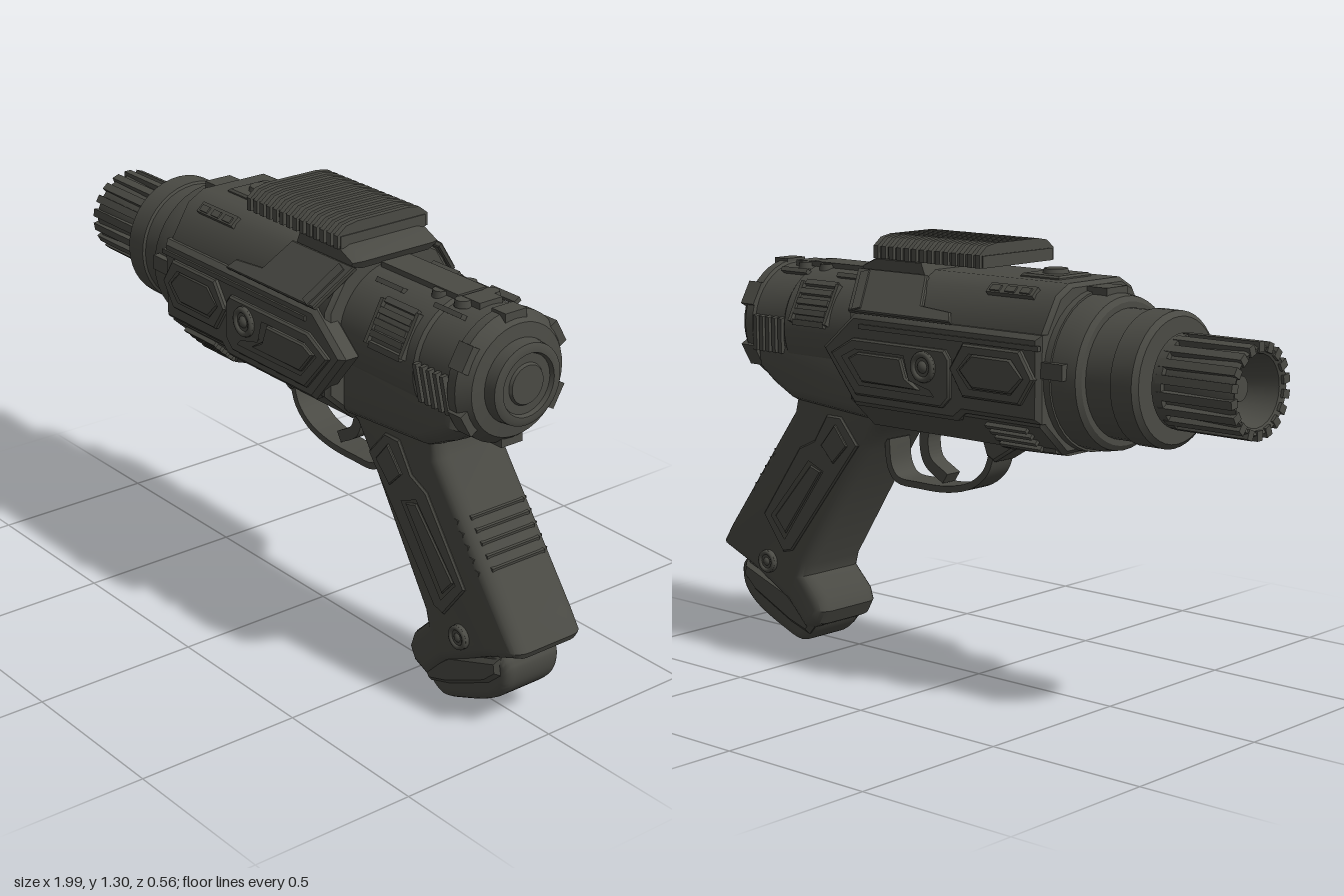
import * as THREE from 'three';
import { toCreasedNormals } from 'three/addons/utils/BufferGeometryUtils.js';

const gunmetal = new THREE.MeshStandardMaterial({ color: 0x4a4a44 });
gunmetal.name = 'gunmetal';

export function createModel() {
  const model = new THREE.Group();
  model.name = 'blaster';

  const add = (name, geo, x = 0, y = 0, z = 0, rx = 0, rz = 0) => {
    const m = new THREE.Mesh(geo, gunmetal);
    m.name = name;
    m.position.set(x, y, z);
    m.rotation.set(rx, 0, rz);
    model.add(m);
    return m;
  };
  // Same part on both sides of the gun
  const pair = (name, geo, x, y, z, rx = 0, rz = 0) => {
    add(name + 'Left', geo, x, y, z, rx, rz);
    add(name + 'Right', geo, x, y, -z, -rx, rz);
  };
  const box = (w, h, d) => new THREE.BoxGeometry(w, h, d);

  // Side outline given thickness across z, bevelled inside its outline
  const slab = (pts, depth, bevel = 0, bevelZ = bevel, segs = 1, holes = []) => {
    const shape = new THREE.Shape(pts.map(p => new THREE.Vector2(...p)));
    holes.forEach(h => shape.holes.push(new THREE.Path(h.map(p => new THREE.Vector2(...p)))));
    const g = new THREE.ExtrudeGeometry(shape, {
      depth: depth - 2 * bevelZ, bevelEnabled: bevel > 0, bevelSize: bevel,
      bevelOffset: -bevel, bevelThickness: bevelZ, bevelSegments: segs,
    });
    g.translate(0, 0, -(depth - 2 * bevelZ) / 2);
    return toCreasedNormals(g, 0.6);
  };
  // Smooth outline through a few points
  const smooth = (pts, n = 60) =>
    new THREE.CatmullRomCurve3(pts.map(p => new THREE.Vector3(p[0], p[1], 0)), true, 'centripetal')
      .getPoints(n).slice(0, -1).map(p => [p.x, p.y]);
  // Turned part along x, profile as [x, radius]
  const turned = (pts, segs = 40) => {
    const g = new THREE.LatheGeometry(pts.map(([x, r]) => new THREE.Vector2(r, x)), segs);
    g.rotateZ(-Math.PI / 2);
    return toCreasedNormals(g, 0.5);
  };
  // Bent strip following a curve in the side plane
  const strip = (pts, t, depth) => {
    const c = new THREE.CatmullRomCurve3(pts.map(p => new THREE.Vector3(p[0], p[1], 0)));
    const a = [], b = [];
    for (let i = 0; i <= 28; i++) {
      const p = c.getPoint(i / 28), d = c.getTangent(i / 28);
      a.push([p.x - d.y * t / 2, p.y + d.x * t / 2]);
      b.unshift([p.x + d.y * t / 2, p.y - d.x * t / 2]);
    }
    return slab([...a, ...b], depth);
  };

  // Muzzle with open bore and raised flutes
  const axis = 0.965;
  add('muzzle', turned([[-0.84, 0], [-0.84, 0.075], [-0.985, 0.1], [-0.995, 0.118], [-0.98, 0.124],
    [-0.8, 0.116], [-0.72, 0.116]], 24), 0, axis);
  add('boreCore', turned([[-0.93, 0], [-0.93, 0.035], [-0.83, 0.05]], 20), 0, axis);
  for (let i = 0; i < 18; i++) {
    const a = i / 18 * Math.PI * 2;
    add('muzzleFlute', box(0.25, 0.028, 0.024), -0.872, axis + Math.cos(a) * 0.119, Math.sin(a) * 0.119, a);
  }
  add('muzzleRing', turned([[-0.765, 0.1], [-0.765, 0.132], [-0.735, 0.132], [-0.735, 0.1]]), 0, axis);

  // Stepped barrel collars
  add('frontCollar', turned([[-0.725, 0], [-0.725, 0.175], [-0.712, 0.19], [-0.64, 0.19], [-0.635, 0.183],
    [-0.55, 0.183], [-0.55, 0.2], [-0.54, 0.215], [-0.5, 0.222], [-0.43, 0.222]]), 0, axis);
  add('rearCollar', turned([[-0.46, 0.2], [-0.46, 0.228], [-0.41, 0.232], [-0.41, 0.2]]), 0, axis);
  pair('collarLatch', box(0.075, 0.045, 0.03), -0.475, 0.99, 0.222);
  add('collarTopLatch', box(0.07, 0.025, 0.09), -0.475, 1.19, 0);

  // Faceted main body
  const section = [[0.11, 1.215], [0.165, 1.185], [0.228, 1.08], [0.228, 0.83], [0.13, 0.74]];
  const body = slab([...section, ...section.map(([z, y]) => [-z, y]).reverse()], 0.75, 0.012);
  body.rotateY(Math.PI / 2);
  add('mainBody', body, -0.065);
  add('lowerHandguard', slab([[-0.43, 0.84], [-0.43, 0.735], [-0.22, 0.728], [-0.19, 0.76], [-0.19, 0.84]],
    0.3, 0.012, 0.04));
  for (let i = 0; i < 4; i++)
    pair('handguardRib', box(0.15, 0.012, 0.02), -0.3, 0.755 + i * 0.02, 0.154 + i * 0.021, 0.73);

  // Side armour plates
  pair('sideArmour', slab([[-0.44, 1.085], [0.27, 1.085], [0.4, 0.975], [0.27, 0.815], [-0.13, 0.815],
    [-0.16, 0.84], [-0.44, 0.84]], 0.07, 0.014), 0, 0, 0.213);
  const hexagon = (s, x0, x1, y, h) => [[x0 + s, y], [x0 + 0.05 + s, y + h], [x1 - 0.05 - s, y + h],
    [x1 - s, y], [x1 - 0.05 - s, y - h], [x0 + 0.05 + s, y - h]];
  pair('hexPanelFrame', slab(hexagon(0, -0.43, -0.12, 0.965, 0.075), 0.025, 0.006, 0.006, 1,
    [hexagon(0.025, -0.43, -0.12, 0.965, 0.055)]), 0, 0, 0.251);
  pair('hexPanel', slab(hexagon(0.035, -0.43, -0.12, 0.965, 0.048), 0.025, 0.006), 0, 0, 0.25);
  pair('arrowPanelFrame', slab([[-0.1, 1.015], [0.26, 1.015], [0.35, 0.965], [0.25, 0.85], [-0.09, 0.85],
    [-0.12, 0.88], [-0.12, 0.99]], 0.022, 0.006, 0.006, 1,
    [[[0.05, 0.99], [0.25, 0.99], [0.31, 0.96], [0.235, 0.875], [-0.07, 0.875], [-0.05, 0.9], [0.03, 0.92]]]), 0, 0, 0.25);
  pair('arrowPanel', slab([[0.07, 0.975], [0.24, 0.975], [0.28, 0.955], [0.225, 0.89], [0.0, 0.89], [0.05, 0.92]],
    0.02, 0.005), 0, 0, 0.25);
  const bolt = (r, d) => new THREE.CylinderGeometry(r * 0.85, r, d, 24).rotateX(Math.PI / 2);
  // Screw with a raised rim and centre on each side
  const screw = (name, r, x, y, z) => {
    pair(name + 'Base', new THREE.CylinderGeometry(r, r, 0.03, 24).rotateX(Math.PI / 2), x, y, z);
    pair(name + 'Rim', new THREE.TorusGeometry(r * 0.8, r * 0.2, 8, 28), x, y, z + 0.014);
    pair(name + 'Head', new THREE.SphereGeometry(r * 0.45, 16, 10), x, y, z + 0.006);
  };
  screw('bodyScrew', 0.045, -0.025, 0.96, 0.252);
  // Long trim strips and small blocks on the upper body
  pair('upperTrim', box(0.68, 0.014, 0.012), -0.1, 1.05, 0.248);
  pair('upperBlock', box(0.17, 0.035, 0.02), -0.275, 1.185, 0.164, -0.85);
  for (let i = 0; i < 3; i++)
    pair('upperStud', box(0.035, 0.02, 0.03), -0.33 + i * 0.055, 1.183, 0.166, -0.85);
  add('topHatch', slab([[-0.07, -0.07], [0.07, -0.07], [0.07, 0.07], [-0.07, 0.07]], 0.02, 0.006)
    .rotateX(-Math.PI / 2), -0.29, 1.215, 0);
  add('topHatchBolt', bolt(0.04, 0.02).rotateX(-Math.PI / 2), -0.29, 1.228, 0);

  // Slanted straps carrying the rail
  pair('railStrap', slab([[-0.12, -0.075], [0.28, -0.075], [0.335, 0.075], [0.06, 0.075], [0.015, -0.03],
    [-0.1, -0.04]], 0.018, 0.004), 0, 1.145, 0.2, -0.738);
  pair('strapRib', box(0.03, 0.14, 0.02), 0.27, 1.145, 0.206, -0.738, -0.35);
  add('railPedestal', slab([[0.06, 1.19], [0.08, 1.245], [0.27, 1.245], [0.335, 1.215], [0.32, 1.19]], 0.3, 0.01, 0.03));

  // Finned top rail
  add('railBase', box(0.42, 0.035, 0.3), 0.06, 1.255, 0);
  const fin = slab([[-0.16, 1.238], [0.16, 1.238], [0.16, 1.275], [0.13, 1.298], [0.09, 1.305], [-0.09, 1.305],
    [-0.13, 1.298], [-0.16, 1.275]], 0.017);
  fin.rotateY(Math.PI / 2);
  for (let i = 0; i < 14; i++) add('railFin', fin, -0.137 + i * 0.0304, 0, 0);

  // Rear receiver and end cap
  add('rearReceiver', turned([[0.2, 0], [0.2, 0.186], [0.62, 0.186], [0.63, 0.178], [0.755, 0.178], [0.76, 0.187],
    [0.79, 0.187], [0.825, 0.16], [0.83, 0.12], [0.865, 0.116], [0.87, 0.105], [0.87, 0.09], [0.858, 0.085],
    [0.858, 0.06], [0.866, 0.055], [0.866, 0]]), 0, 1.0);
  for (let i = 0; i < 6; i++) {
    const a = i / 6 * Math.PI * 2;
    add('capLug', box(0.055, 0.03, 0.075), 0.785, 1 + Math.cos(a) * 0.176, Math.sin(a) * 0.176, a);
  }
  // Receiver vents: stacked louvres, then upright slats
  const onReceiver = (name, geo, x, a, r, rz = 0) =>
    pair(name, geo, x, 1 + r * Math.sin(a), r * Math.cos(a), -a, rz);
  for (let i = 0; i < 5; i++) onReceiver('louvre', box(0.13, 0.018, 0.02), 0.51, 0.14 + i * 0.17, 0.188);
  for (const x of [0.437, 0.583]) onReceiver('louvreFrame', box(0.012, 0.13, 0.018), x, 0.48, 0.184);
  for (let i = 0; i < 5; i++) onReceiver('slat', box(0.015, 0.11, 0.022), 0.64 + i * 0.027, -0.12, 0.178, 0.12);
  // Bumps along the receiver top
  add('topSpine', box(0.32, 0.016, 0.1), 0.48, 1.186, 0);
  for (let i = 0; i < 2; i++) {
    pair('topStud', new THREE.CylinderGeometry(0.022, 0.025, 0.02, 16), 0.57 + i * 0.09, 1.18, 0.05);
    pair('topBar', box(0.11, 0.014, 0.02), 0.42 + i * 0.24, 1.165, 0.095, -0.55);
  }
  add('topCatch', box(0.07, 0.03, 0.08), 0.68, 1.176, 0);

  // Grip blending up into the receiver
  add('gripNeck', slab([[0.2, 0.98], [0.79, 0.98], [0.78, 0.86], [0.71, 0.81], [0.63, 0.77], [0.3, 0.745], [0.22, 0.8]],
    0.34, 0.05, 0.1, 5));
  add('grip', slab([[0.2, 0.85], [0.22, 0.765], [0.3, 0.72], [0.35, 0.65], [0.6, 0.26], [0.61, 0.225], [0.55, 0.165],
    [0.535, 0.12], [0.56, 0.075], [0.62, 0.05], [0.7, 0.13], [0.86, 0.215], [0.985, 0.265], [0.995, 0.285],
    [0.955, 0.345], [0.66, 0.74], [0.65, 0.78], [0.72, 0.83], [0.72, 0.88]], 0.25, 0.035, 0.045, 5));
  add('gripBasePlate', slab(smooth([[0.58, 0.1], [0.6, 0.045], [0.66, 0.005], [0.75, 0.03], [0.88, 0.095], [0.925, 0.15],
    [0.925, 0.22], [0.86, 0.25], [0.7, 0.18]]), 0.2, 0.025, 0.03, 4));
  add('baseBand', slab([[0.59, 0.07], [0.62, 0.035], [0.7, 0.06], [0.86, 0.135], [0.91, 0.18], [0.9, 0.23], [0.7, 0.16]],
    0.225, 0.015));
  pair('gripFrame', slab([[0.37, 0.665], [0.44, 0.745], [0.5, 0.745], [0.555, 0.66], [0.62, 0.63], [0.785, 0.4], [0.7, 0.29],
    [0.66, 0.3]], 0.02, 0.005, 0.005, 1, [[[0.51, 0.57], [0.58, 0.6], [0.755, 0.4], [0.69, 0.325]]]), 0, 0, 0.122);
  pair('gripInlay', slab([[0.53, 0.565], [0.575, 0.58], [0.735, 0.4], [0.69, 0.35]], 0.016, 0.004), 0, 0, 0.122);
  pair('gripInset', slab([[0.41, 0.66], [0.46, 0.72], [0.52, 0.65], [0.47, 0.6]], 0.012, 0.003), 0, 0, 0.133);
  screw('gripScrew', 0.036, 0.768, 0.25, 0.122);
  // Ribs wrapping the back of the grip
  for (let i = 0; i < 5; i++) {
    const y = 0.48 + i * 0.03, x = 0.955 - (y - 0.345) * 0.747;
    pair('gripSideRib', box(0.11, 0.013, 0.016), x - 0.075, y - 0.005, 0.117, 0, -0.15);
    add('gripBackRib', box(0.03, 0.013, 0.19), x - 0.012, y, 0, 0, -0.15);
  }

  // Trigger and guard
  add('guardMount', slab([[-0.19, 0.76], [-0.175, 0.71], [-0.1, 0.665], [-0.07, 0.68], [-0.04, 0.76]], 0.1, 0.008));
  add('triggerGuard', strip([[-0.09, 0.69], [-0.065, 0.63], [-0.01, 0.585], [0.08, 0.56], [0.2, 0.556], [0.29, 0.563],
    [0.32, 0.6], [0.33, 0.68]], 0.02, 0.09));
  add('trigger', strip([[0.18, 0.76], [0.195, 0.69], [0.18, 0.63], [0.11, 0.585]], 0.035, 0.055));

  return model;
}
